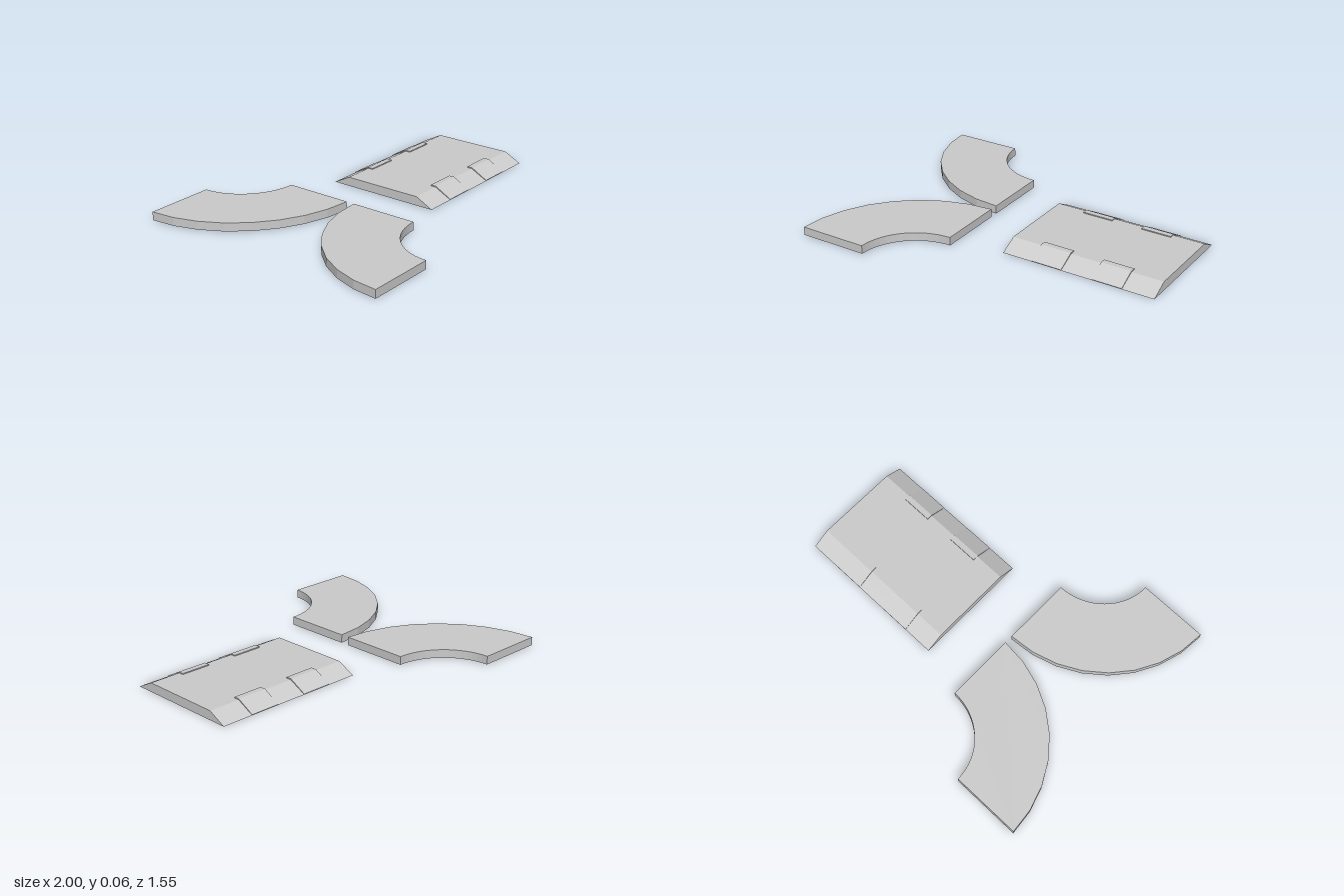
import * as THREE from 'three';

const material = new THREE.MeshStandardMaterial({ color: 0xcccccc, flatShading: true });

// Extrudes a list of [a, b] points by depth.
function prism(points, depth) {
  const shape = new THREE.Shape(points.map(([a, b]) => new THREE.Vector2(a, b)));
  return new THREE.ExtrudeGeometry(shape, { depth, bevelEnabled: false });
}

// Quarter-ellipse points, swept from the -x axis to the +y axis.
function quarterArc(rx, ry, segments) {
  return Array.from({ length: segments + 1 }, (_, i) => {
    const a = (i / segments) * Math.PI / 2;
    return [-rx * Math.cos(a), ry * Math.sin(a)];
  });
}

// Extrudes a [z, y] profile along x between x0 and x1.
function alongX(name, profile, x0, x1) {
  const geometry = prism(profile.map(([z, y]) => [-z, y]), x1 - x0);
  geometry.rotateY(Math.PI / 2);
  geometry.translate(x0, 0, 0);
  const mesh = new THREE.Mesh(geometry, material);
  mesh.name = name;
  return mesh;
}

export function createModel() {
  const model = new THREE.Group();
  model.name = 'trackPieces';

  // Two quarter-turn slabs, facing away from each other
  for (const [name, side, z] of [['frontCurve', 1, 0.775], ['backCurve', -1, -0.78]]) {
    const outline = [...quarterArc(0.77, 0.752, 8), ...quarterArc(0.353, 0.338, 16).reverse()]
      .map(([a, b]) => [a, b * side]);
    const geometry = prism(outline, 0.05);
    geometry.rotateX(-Math.PI / 2);
    const curve = new THREE.Mesh(geometry, material);
    curve.name = name;
    curve.position.set(-0.23, 0.002, z);
    model.add(curve);
  }

  // Raised platform with sloping front and back
  const platform = new THREE.Group();
  platform.name = 'platform';
  platform.position.z = -0.004;
  platform.add(alongX('platformBody',
    [[0.351, 0], [0.246, 0.054], [-0.246, 0.054], [-0.351, 0]], 0.065, 1));

  // Thin ramp plates folded over both slopes
  const plate = [[0.351, 0.001], [0.351, 0.004], [0.248, 0.06], [0.214, 0.06], [0.214, 0.052], [0.244, 0.052]];
  for (const side of [1, -1]) {
    for (const [x0, x1] of [[0.25, 0.437], [0.625, 0.808]]) {
      platform.add(alongX(side > 0 ? 'frontRampPlate' : 'backRampPlate',
        plate.map(([z, y]) => [z * side, y]), x0, x1));
    }
  }
  model.add(platform);
  return model;
}
